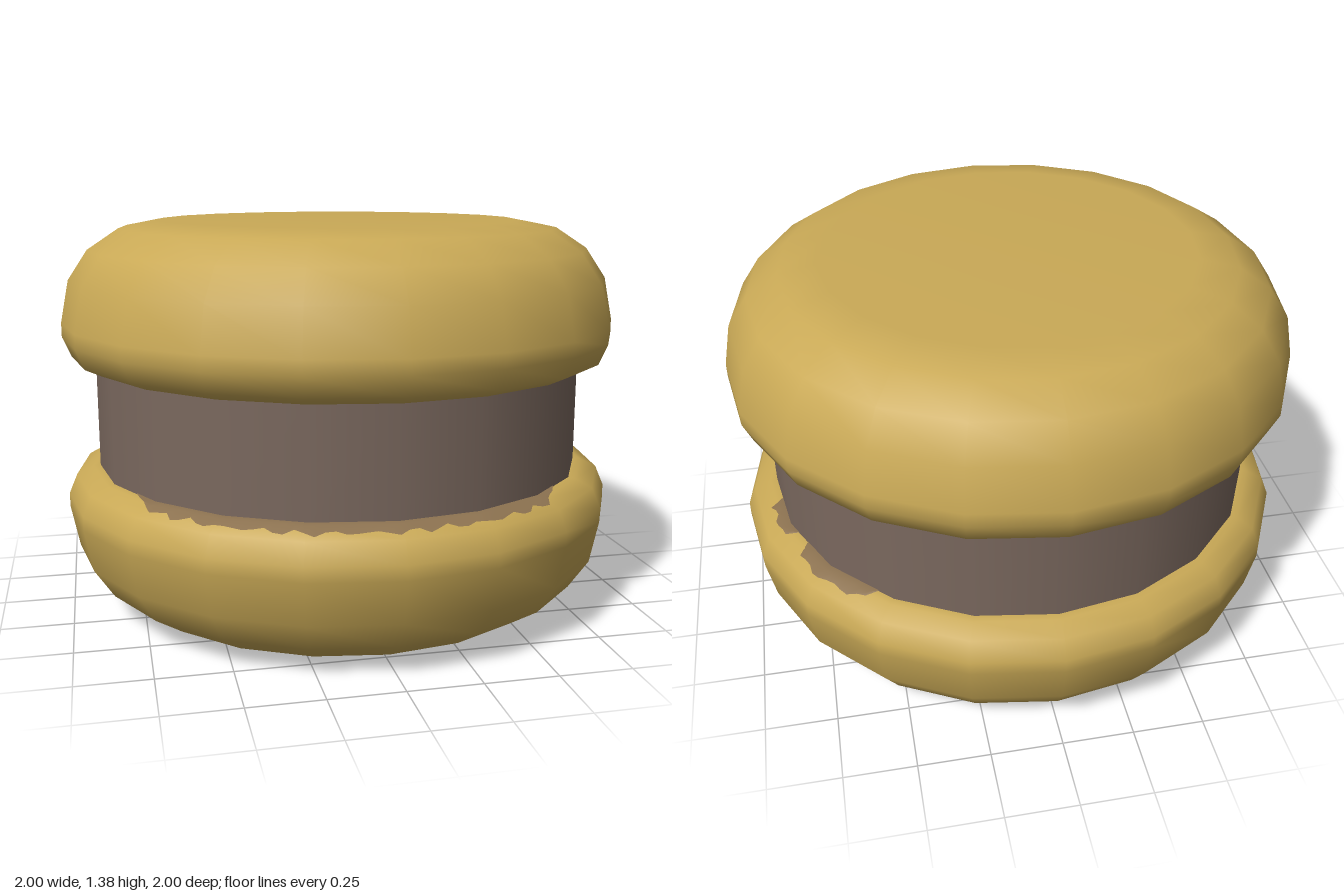
import * as THREE from 'three';

const SIDES = 20;
const HEIGHT = 1.385;

// Upper biscuit outline (radius, y), from the filling seam to the top centre
const PROFILE = [
  [0.885, 0.88], [0.91, 0.882], [0.97, 0.91], [1, 0.98], [1, 1.03], [0.97, 1.18],
  [0.9, 1.285], [0.79, 1.358], [0.65, 1.385], [0, 1.385],
];

// Radius factor that keeps a point on the flat side of the 20-sided ring
function facet(phi) {
  const step = (Math.PI * 2) / SIDES;
  const d = phi - (Math.floor(phi / step) + 0.5) * step;
  return Math.cos(step / 2) / Math.cos(d);
}

// Ragged smear on the biscuit rim beside the filling, between two angles in degrees
function smear(from, to, reach, upper) {
  const positions = [], index = [];
  const n = Math.max(8, Math.round((to - from) / 2));
  const put = (phi, r, y) => {
    const k = r * facet(phi);
    positions.push(Math.sin(phi) * k, upper ? y : HEIGHT - y, Math.cos(phi) * k);
  };
  for (let i = 0; i <= n; i++) {
    const phi = THREE.MathUtils.degToRad(from + ((to - from) * i) / n);
    const ragged = 0.8 + 0.13 * Math.sin(i * 1.7) + 0.07 * Math.sin(i * 4.1 + from);
    const t = reach * ragged * Math.min(1, Math.sin((Math.PI * i) / n) * 3);
    const lift = 0.004;
    const bend = 0.025 / 0.085;
    put(phi, 0.883, 0.88 - lift);
    put(phi, 0.885 + 0.085 * Math.min(t, bend), 0.88 + 0.002 * Math.min(t / bend, 1) - lift);
    put(phi, 0.885 + 0.085 * t, 0.88 + 0.002 * Math.min(t / bend, 1)
      + 0.028 * Math.max(0, (t - bend) / (1 - bend)) - lift);
    if (i === n) continue;
    for (let j = 0; j < 2; j++) {
      const a = i * 3 + j, b = a + 1, c = a + 3, d = a + 4;
      if (upper) index.push(a, c, b, b, c, d);
      else index.push(a, b, c, b, d, c);
    }
  }
  const g = new THREE.BufferGeometry();
  g.setAttribute('position', new THREE.Float32BufferAttribute(positions, 3));
  g.setIndex(index);
  g.computeVertexNormals();
  return g;
}

export function createModel() {
  const group = new THREE.Group();
  const material = (name, color) => {
    const m = new THREE.MeshStandardMaterial({ color });
    m.name = name;
    return m;
  };
  const biscuit = material('golden biscuit', 0xc9a956);
  const cream = material('chocolate filling', 0x7a685e);
  const stain = material('smeared filling', 0x8c7250);
  stain.side = cream.side = THREE.DoubleSide;

  const add = (name, geometry, mat) => {
    const mesh = new THREE.Mesh(geometry, mat);
    mesh.name = name;
    group.add(mesh);
  };

  // Two rounded biscuits, the lower one mirrored
  const top = PROFILE.map(([r, y]) => new THREE.Vector2(r, y));
  const bottom = PROFILE.map(([r, y]) => new THREE.Vector2(r, HEIGHT - y)).reverse();
  add('upperBiscuit', new THREE.LatheGeometry(top, SIDES), biscuit);
  add('lowerBiscuit', new THREE.LatheGeometry(bottom, SIDES), biscuit);

  // Filling between the biscuits
  const filling = new THREE.CylinderGeometry(0.885, 0.885, 0.385, SIDES, 1, true);
  filling.translate(0, HEIGHT / 2, 0);
  add('filling', filling, cream);

  // Smears of filling along the rims
  [[-62, 45, 0.85], [98, 112, 0.6], [116, 140, 0.8]].forEach(([a, b, reach], i) =>
    add(`lowerSmear${i + 1}`, smear(a, b, reach, false), stain));
  [[88, 112, 0.45], [114, 150, 0.55], [152, 190, 0.45]].forEach(([a, b, reach], i) =>
    add(`upperSmear${i + 1}`, smear(a, b, reach, true), cream));

  return group;
}
